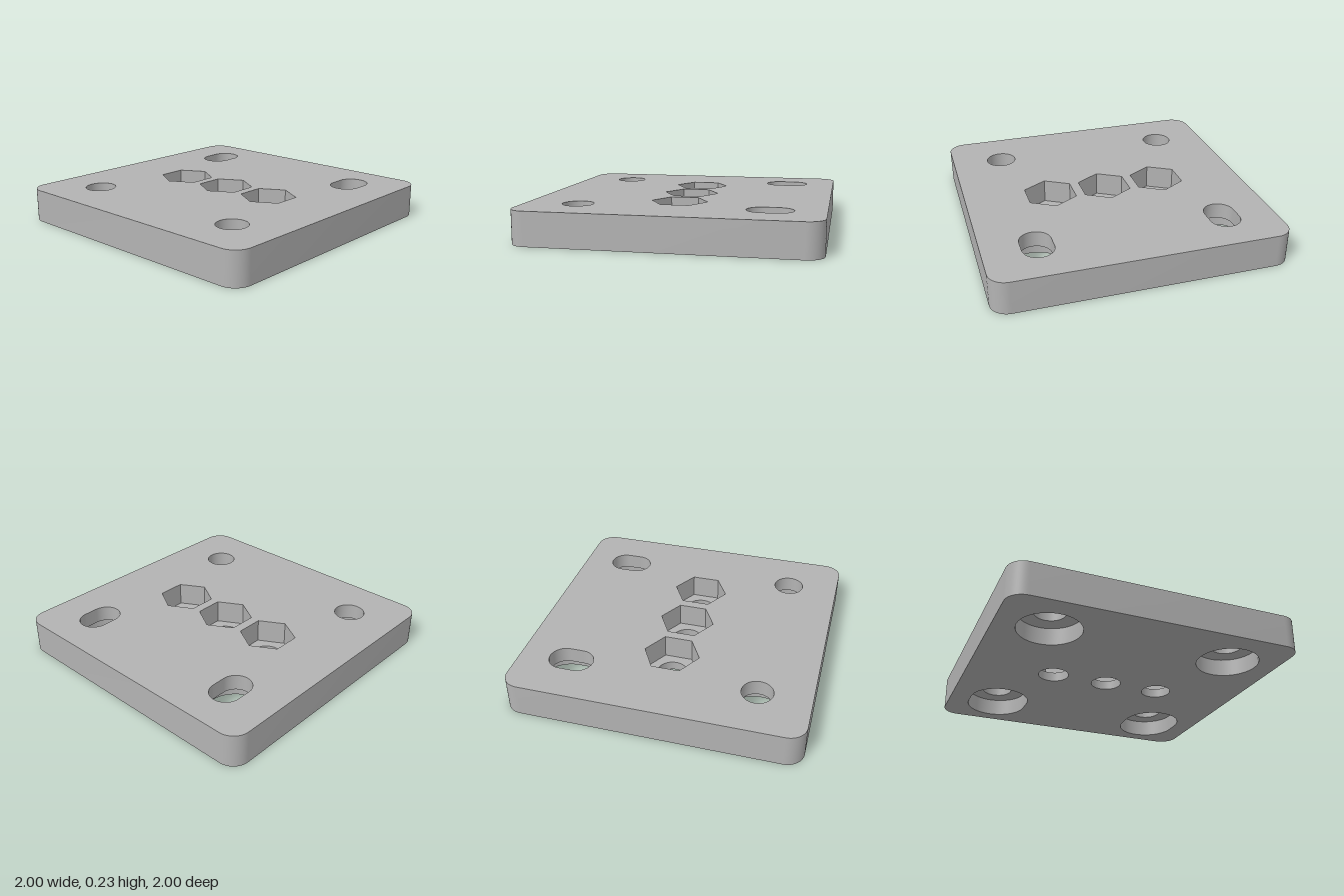
import * as THREE from 'three';
import { mergeGeometries, toCreasedNormals } from 'three/addons/utils/BufferGeometryUtils.js';

const HEIGHT = 0.23;
const BORE = 0.12;        // depth of the counterbores in the underside
const NUT_FLOOR = 0.065;  // height of the hexagonal pocket floors
const HOLE_R = 0.106;

// Counter-clockwise loop: four quarter arcs of radius r, spread apart by ox and oy
function roundLoop(cx, cy, r, ox = 0, oy = 0, steps = 14) {
  const pts = [];
  const signs = [[1, 1], [-1, 1], [-1, -1], [1, -1]];
  signs.forEach(([sx, sy], q) => {
    for (let i = 0; i <= steps; i++) {
      const a = (q + i / steps) * Math.PI / 2;
      pts.push(new THREE.Vector2(cx + sx * ox + r * Math.cos(a), cy + sy * oy + r * Math.sin(a)));
    }
  });
  return pts.filter((p, i) => p.distanceTo(pts[(i + 1) % pts.length]) > 1e-5);
}

function hexLoop(cx, cy, r) {
  return Array.from({ length: 6 }, (_, i) =>
    new THREE.Vector2(cx + r * Math.cos(i * Math.PI / 3), cy + r * Math.sin(i * Math.PI / 3)));
}

// Flat face with holes at height y, looking up or down (layouts are symmetric in z)
function face(outline, holes, y, up) {
  const shape = new THREE.Shape(outline);
  shape.holes = holes.map((h) => new THREE.Path(h));
  const g = new THREE.ShapeGeometry(shape);
  g.rotateX(up ? -Math.PI / 2 : Math.PI / 2);
  if (!up) g.scale(1, 1, 1);
  g.translate(0, y, 0);
  g.deleteAttribute('uv');
  return g.toNonIndexed();
}

// Upright wall along a loop, facing outwards, or inwards for holes
function wall(loop, y0, y1, inward = true) {
  const pts = inward ? [...loop].reverse() : loop;
  const pos = [];
  pts.forEach((a, i) => {
    const b = pts[(i + 1) % pts.length];
    pos.push(a.x, y0, -a.y, b.x, y0, -b.y, b.x, y1, -b.y);
    pos.push(a.x, y0, -a.y, b.x, y1, -b.y, a.x, y1, -a.y);
  });
  const g = new THREE.BufferGeometry();
  g.setAttribute('position', new THREE.Float32BufferAttribute(pos, 3));
  g.computeVertexNormals();
  return toCreasedNormals(g, 0.6);
}

export function createModel() {
  const model = new THREE.Group();
  model.name = 'mountingPlate';
  const grey = new THREE.MeshStandardMaterial({ color: 0xb3b3b3 });
  grey.name = 'plain grey';
  const add = (name, ...parts) => {
    const mesh = new THREE.Mesh(mergeGeometries(parts), grey);
    mesh.name = name;
    model.add(mesh);
  };

  const outline = roundLoop(0, 0, 0.12, 0.88, 0.88);
  const topHoles = [];
  const bottomHoles = [];

  // Corner holes: round on one side, slotted on the other, counterbored from below
  for (const sx of [-1, 1]) {
    for (const sz of [-1, 1]) {
      const spread = sx > 0 ? 0.048 : 0;
      const hole = roundLoop(0.64 * sx, 0.64 * sz, HOLE_R, spread);
      const bore = roundLoop(0.64 * sx, 0.64 * sz, 0.214, spread);
      // Built as a mirrored ledge, since a downward face flips z
      const ledge = face(
        roundLoop(0.64 * sx, -0.64 * sz, 0.214, spread),
        [roundLoop(0.64 * sx, -0.64 * sz, HOLE_R, spread)], BORE, false);
      add(sx > 0 ? 'slottedHole' : 'roundHole',
        wall(hole, BORE, HEIGHT), wall(bore, 0, BORE), ledge);
      topHoles.push(hole);
      bottomHoles.push(bore);
    }
  }

  // Three hexagonal nut pockets with a through hole each
  for (const z of [-0.4, 0, 0.4]) {
    const hex = hexLoop(0, z, 0.193);
    const hole = roundLoop(0, z, HOLE_R);
    add('nutPocket', wall(hex, NUT_FLOOR, HEIGHT), wall(hole, 0, NUT_FLOOR),
      face(hex, [hole], NUT_FLOOR, true));
    topHoles.push(hex);
    bottomHoles.push(hole);
  }

  // Outer skin of the plate
  add('plateTop', face(outline, topHoles, HEIGHT, true));
  add('plateUnderside', face(outline, bottomHoles, 0, false));
  add('plateEdge', wall(outline, 0, HEIGHT, false));
  return model;
}
